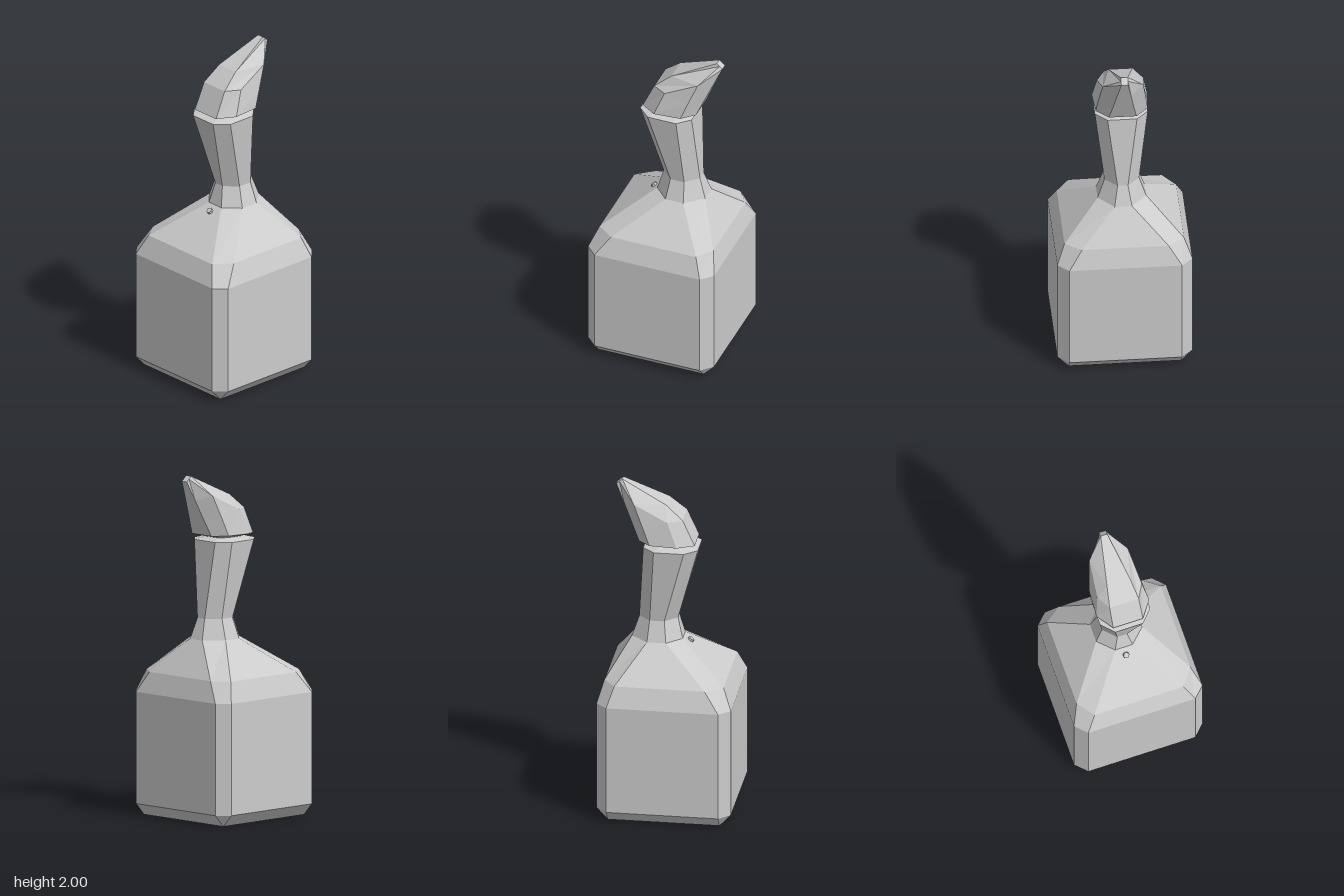
import * as THREE from 'three';

const material = new THREE.MeshStandardMaterial({ color: 0xcccccc, flatShading: true });

// Full eight-point ring from its +x half: front, side front, side back, back.
const mirror = (half) => [...half, ...half.slice().reverse().map(([x, y, z]) => [-x, y, z])];

// Level ring: front edge (fx, fz), side edge at x = w from sf to sb, back edge (bx, bz).
const ring = (y, w, fx, fz, sf, sb, bx, bz) =>
  mirror([[fx, y, fz], [w, y, sf], [w, y, sb], [bx, y, bz]]);

// Square ring with chamfered corners.
const square = (y, w, f) => ring(y, w, f, w, f, -f, f, -w);

// Faceted skin over a stack of rings, listed from bottom to top.
function loft(name, rings, capBottom, capTop) {
  const pos = [];
  const tri = (a, b, c) => {
    const [A, B, C] = [a, b, c].map((p) => new THREE.Vector3(...p));
    const area = B.clone().sub(A).cross(C.clone().sub(A)).length();
    if (area > 1e-7) pos.push(...a, ...b, ...c);
  };
  for (let r = 0; r + 1 < rings.length; r++) {
    const lo = rings[r], hi = rings[r + 1];
    for (let i = 0; i < 8; i++) {
      const j = (i + 1) % 8;
      tri(lo[i], lo[j], hi[j]);
      tri(lo[i], hi[j], hi[i]);
    }
  }
  const first = rings[0], last = rings[rings.length - 1];
  for (let i = 1; i < 7; i++) {
    if (capBottom) tri(first[0], first[i + 1], first[i]);
    if (capTop) tri(last[0], last[i], last[i + 1]);
  }
  const geometry = new THREE.BufferGeometry();
  geometry.setAttribute('position', new THREE.Float32BufferAttribute(pos, 3));
  geometry.computeVertexNormals();
  const mesh = new THREE.Mesh(geometry, material);
  mesh.name = name;
  return mesh;
}

export function createModel() {
  const group = new THREE.Group();
  group.name = 'bottle';

  // Chamfered box body with sloping shoulders
  const collar = ring(1.04, 0.14, 0.053, 0.07, -0.015, -0.125, 0.05, -0.225);
  group.add(loft('body', [
    square(0, 0.325, 0.325),
    square(0.07, 0.39, 0.325),
    square(0.72, 0.39, 0.325),
    ring(0.84, 0.345, 0.27, 0.34, 0.24, -0.285, 0.25, -0.355),
    collar,
  ], true, false));

  // Flaring neck, closing in to a narrow groove under the head
  const groove = ring(1.625, 0.09, 0.05, 0.09, 0.045, -0.055, 0.05, -0.105);
  group.add(loft('neck', [
    collar,
    ring(1.16, 0.1, 0.03, 0.04, -0.03, -0.115, 0.03, -0.185),
    ring(1.607, 0.153, 0.085, 0.163, 0.09, -0.085, 0.085, -0.155),
    groove,
  ], false, false));

  // Head sweeping back to a small blunt tip
  group.add(loft('head', [
    groove,
    mirror([[0.09, 1.637, 0.145], [0.16, 1.645, 0.05], [0.15, 1.647, -0.11], [0.08, 1.645, -0.18]]),
    mirror([[0.088, 1.79, 0.075], [0.135, 1.79, -0.008], [0.137, 1.75, -0.15], [0.06, 1.745, -0.223]]),
    mirror([[0.07, 1.875, -0.025], [0.117, 1.885, -0.205], [0.117, 1.885, -0.205], [0.04, 1.86, -0.272]]),
    mirror([[0.02, 2, -0.285], [0.02, 1.985, -0.303], [0.02, 1.985, -0.303], [0.02, 1.97, -0.32]]),
  ], false, true));

  // Tiny stud lying on the front shoulder
  const stud = new THREE.Mesh(new THREE.CylinderGeometry(0.017, 0.02, 0.02, 8), material);
  stud.name = 'stud';
  stud.position.set(0, 1.014, 0.11);
  stud.rotation.x = Math.atan2(0.2, 0.27);
  group.add(stud);

  return group;
}
